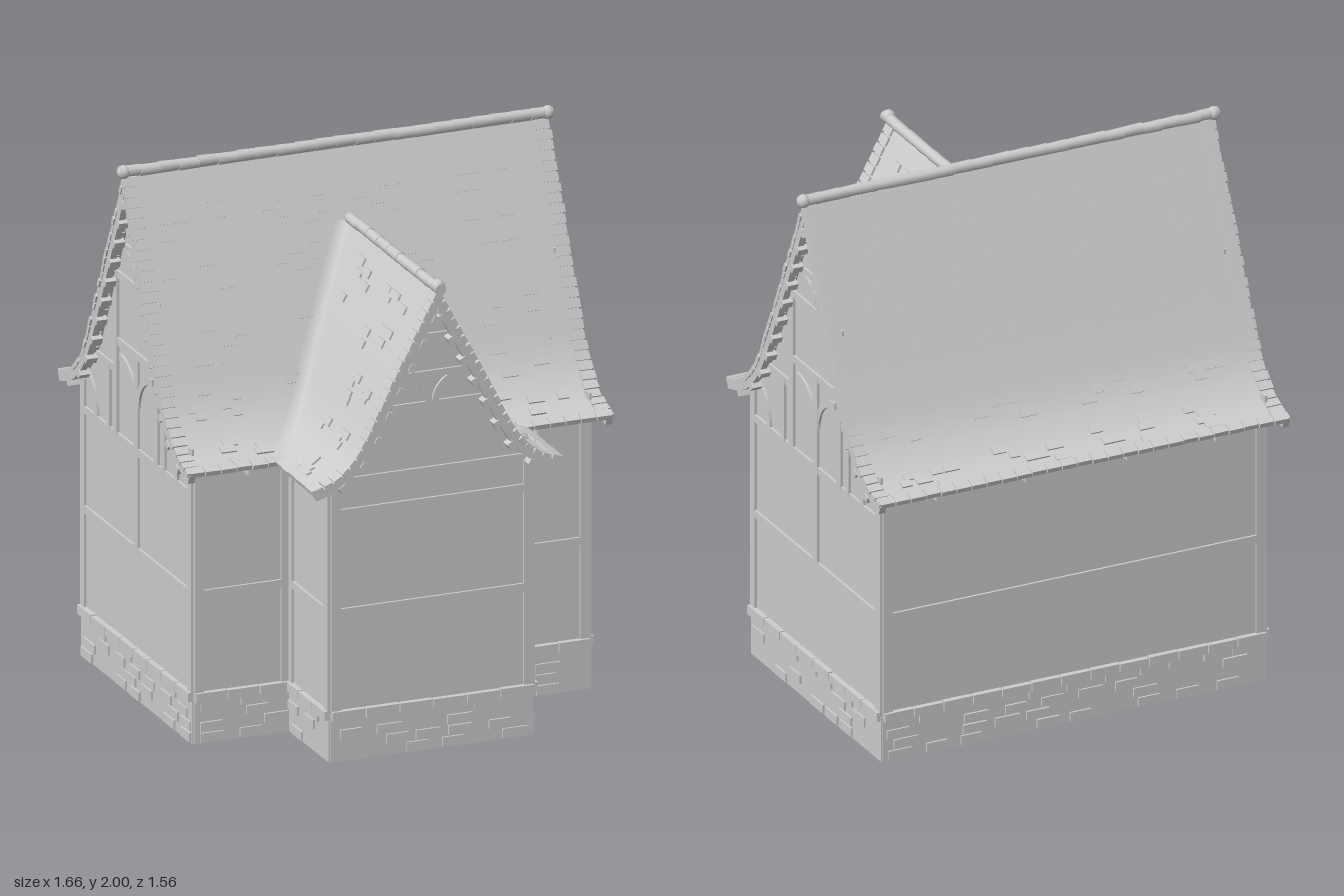
import * as THREE from 'three';
import { mergeGeometries } from 'three/addons/utils/BufferGeometryUtils.js';

const V = (x, y, z = 0) => new THREE.Vector3(x, y, z);
const MID = -0.18; // z of the main ridge

export function createModel() {
  const house = new THREE.Group();
  house.name = 'house';
  const grey = new THREE.MeshStandardMaterial({ color: 0xcccccc, side: THREE.DoubleSide });
  grey.name = 'pale grey';

  let seed = 7;
  const rnd = () => (seed = (seed * 16807) % 2147483647) / 2147483647;
  const add = (parent, geo, name) => {
    const m = new THREE.Mesh(geo, grey);
    m.name = name;
    parent.add(m);
    return m;
  };
  const box = (x, y, z, w, h, d) => new THREE.BoxGeometry(w, h, d).translate(x, y, z);

  // Shared roof sweep: x = run of main roof, y = height, z = run of wing roof
  const rows = new THREE.CatmullRomCurve3([
    V(0.107, 1.72, 0), V(0.284, 1.345, 0.197), V(0.36, 1.2, 0.27), V(0.42, 1.125, 0.32),
    V(0.495, 1.068, 0.385), V(0.595, 1.035, 0.47)]).getPoints(20);
  const mainPts = [V(0, 1.95), ...rows.map(r => V(r.x, r.y))];
  const wingPts = rows.map(r => V(r.z, r.y));
  const mainCurve = new THREE.CatmullRomCurve3(mainPts);
  const wingCurve = new THREE.CatmullRomCurve3(wingPts);

  // Surface from rows of points, top to bottom and left to right seen from outside
  function grid(lines) {
    const n = lines[0].length, idx = [];
    for (let r = 0; r < lines.length - 1; r++)
      for (let c = 0; c < n - 1; c++) {
        const a = r * n + c, d = a + n;
        idx.push(a, d, d + 1, a, d + 1, a + 1);
      }
    const g = new THREE.BufferGeometry().setFromPoints(lines.flat());
    g.setIndex(idx);
    g.computeVertexNormals();
    return g;
  }

  // Roof slopes; front slopes blend into the wing along the valleys
  const roof = new THREE.Group();
  roof.name = 'roof';
  house.add(roof);
  const EDGE = 0.805;
  for (const s of [1, -1]) {
    const order = line => (s > 0 ? line : line.reverse());
    add(roof, grid(rows.map(({ x: dm, y, z: dw }) => order([
      V(s * dw, y, 0.75), V(s * dw, y, MID + dm + 0.05), V(s * dw, y, MID + dm),
      V(s * (dw + 0.05), y, MID + dm), V(s * EDGE, y, MID + dm)]))), 'valleySlope');
    add(roof, grid(mainPts.slice(0, 2).map(p => order([V(0, p.y, MID + p.x), V(s * EDGE, p.y, MID + p.x)]))), 'upperSlope');
  }
  add(roof, grid(mainPts.map(p => [V(EDGE, p.y, MID - p.x), V(-EDGE, p.y, MID - p.x)])), 'backSlope');

  // Tile laid on a slope: u along the ridge, t down the slope
  const slopes = [
    { dir: V(0, 0, 1), z0: MID, curve: mainCurve, lo: -EDGE, hi: EDGE },
    { dir: V(0, 0, -1), z0: MID, curve: mainCurve, lo: -EDGE, hi: EDGE },
    { dir: V(1, 0, 0), z0: 0, curve: wingCurve, lo: -0.05, hi: 0.75 },
    { dir: V(-1, 0, 0), z0: 0, curve: wingCurve, lo: -0.05, hi: 0.75 }];
  const tiles = [];
  function tile(sl, u, t, w, l, h, out = 0.003) {
    const p = sl.curve.getPointAt(t), k = sl.curve.getTangentAt(t);
    const T = sl.dir.clone().multiplyScalar(k.x).add(V(0, k.y, 0));
    const N = sl.dir.clone().multiplyScalar(-k.y).add(V(0, k.x, 0));
    const A = N.clone().cross(T);
    const pos = sl.dir.clone().multiplyScalar(p.x).add(V(0, p.y, sl.z0)).addScaledVector(N, out);
    if (sl.dir.x) pos.z = u; else pos.x = u;
    const m = new THREE.Matrix4().makeBasis(A, N, T).setPosition(pos);
    tiles.push(new THREE.BoxGeometry(w, h, l).applyMatrix4(m));
  }
  slopes.forEach((sl, i) => {
    const wing = i > 1, n = wing ? 22 : 30;
    // stepped verge tiles
    for (let k = 0; k < n; k++)
      for (const e of wing ? [sl.hi] : [sl.lo, sl.hi])
        tile(sl, e + (e > 0 ? -1 : 1) * (0.018 + rnd() * 0.008), (k + 0.5) / n, 0.055, 0.032, 0.016, 0);
    // eave course
    const start = wing ? 0.42 : sl.lo;
    const count = Math.round((sl.hi - start) / 0.06);
    for (let k = 0; k < count; k++) {
      const u = start + (k + 0.5) * (sl.hi - start) / count;
      if (i === 0 && Math.abs(u) < 0.46) continue;
      tile(sl, u, 0.985, 0.056, 0.035 + rnd() * 0.01, 0.018, 0);
    }
    // scattered clusters of raised tiles
    const cols = wing ? [0.15, 0.5] : [-0.58, -0.2, 0.18, 0.56];
    for (const c of cols)
      for (const t0 of [0.15, 0.32, 0.55, 0.72, 0.9])
        for (let k = 0; k < 6; k++) {
          const u = c + (rnd() - 0.5) * 0.24, t = t0 + (Math.round(rnd() * 4) - 2) * 0.026;
          const d = sl.curve.getPointAt(t).x;
          if (i === 0 && Math.abs(u) < (MID + d + 0.07) + 0.07) continue;
          if (wing && (u < -0.07 + d * 1.02 + 0.09 || u > 0.72)) continue;
          tile(sl, u, t, 0.035 + rnd() * 0.03, 0.03, 0.008);
        }
  });
  add(roof, mergeGeometries(tiles), 'roofTiles');

  // Ridge caps made of overlapping rounded tiles
  function ridge(length, n, r, name) {
    const parts = [];
    for (let k = 0; k < n; k++)
      parts.push(new THREE.CylinderGeometry(r, r * (0.86 + rnd() * 0.1), length / n + 0.006, 10)
        .rotateZ(Math.PI / 2).translate((k + 0.5) * length / n - length / 2, (rnd() - 0.5) * 0.004, 0));
    return add(roof, mergeGeometries(parts), name);
  }
  ridge(1.64, 22, 0.021, 'mainRidge').position.set(0, 1.973, MID);
  const wr = ridge(0.82, 9, 0.021, 'wingRidge');
  wr.rotation.y = Math.PI / 2;
  wr.position.set(0, 1.735, 0.362);

  // Bargeboard with blocks below, drawn facing +z
  function bargeboard(parent, curve, z) {
    const outer = [], inner = [];
    for (let k = 0; k <= 24; k++) {
      const p = curve.getPointAt(k / 24), t = curve.getTangentAt(k / 24);
      outer.push([p.x, p.y - 0.004]);
      inner.push(k ? [Math.max(0, p.x + t.y * 0.034), p.y - t.x * 0.034] : [0, p.y - 0.08]);
    }
    const flip = a => a.map(([x, y]) => [-x, y]);
    const ring = [...outer, ...inner.slice().reverse(), ...flip(inner).slice(1), ...flip(outer).reverse()];
    const shape = new THREE.Shape(ring.map(([x, y]) => new THREE.Vector2(x, y)));
    add(parent, new THREE.ExtrudeGeometry(shape, { depth: 0.025, bevelEnabled: false }).translate(0, 0, z), 'bargeboard');
    const blocks = [], n = Math.round(curve.getLength() / 0.095);
    for (let k = 1; k < n; k++)
      for (const s of [1, -1]) {
        const p = curve.getPointAt(k / n), t = curve.getTangentAt(k / n);
        blocks.push(new THREE.BoxGeometry(0.028, 0.024, 0.04).rotateZ(s * Math.atan2(t.y, t.x))
          .translate(s * (p.x + t.y * 0.04), p.y - t.x * 0.04, z + 0.01));
      }
    add(parent, mergeGeometries(blocks), 'rafterBlocks');
    const top = curve.getPointAt(0).y;
    add(parent, new THREE.SphereGeometry(0.025, 12, 8).translate(0, top + 0.023, z + 0.025), 'finial');
  }

  // Curved timber brace
  function arc(cx, cy, r, a0, a1) {
    const s = new THREE.Shape();
    s.absarc(cx, cy, r, a0, a1, false);
    s.absarc(cx, cy, r - 0.025, a1, a0, true);
    return new THREE.ExtrudeGeometry(s, { depth: 0.009, bevelEnabled: false, curveSegments: 8 });
  }

  // One wall with plinth, ledge and timbers, drawn facing +z
  function wall(name, x, z, turn, w, curve) {
    const g = new THREE.Group();
    g.name = name;
    g.position.set(x, 0, z);
    g.rotation.y = turn;
    house.add(g);
    const h = w / 2;
    if (curve) {
      const side = curve.getSpacedPoints(40).filter(p => p.x <= h).map(p => [p.x, p.y - 0.02]);
      const pts = [[-h, 0.02], [h, 0.02], [h, 1.045], ...side.slice().reverse(),
        ...side.slice(1).map(([a, b]) => [-a, b]), [-h, 1.045]];
      add(g, new THREE.ShapeGeometry(new THREE.Shape(pts.map(p => new THREE.Vector2(...p)))), 'gableWall');
    } else add(g, new THREE.PlaneGeometry(w, 1.04).translate(0, 0.54, 0), 'wallPanel');

    // stone plinth
    const stones = [box(0, 0.085, -0.012, w, 0.17, 0.036)];
    for (let row = 0; row < 4; row++)
      for (let u = -h + rnd() * 0.05; u < h - 0.09; u += 0.11 + rnd() * 0.05)
        if (rnd() < 0.6) stones.push(box(u + 0.045, 0.022 + row * 0.04, 0.006, 0.08 + rnd() * 0.02, 0.034, 0.012 + rnd() * 0.006));
    add(g, mergeGeometries(stones), 'plinth');
    const n = Math.max(3, Math.round(w / 0.12)), caps = [];
    for (let k = 0; k < n; k++)
      caps.push(box(-h + (k + 0.5) * w / n, 0.173, 0.004, w / n - 0.004, 0.03 + rnd() * 0.006, 0.034));
    add(g, mergeGeometries(caps), 'ledge');

    // timbers: post(u, y0, y1) and rail(y, u0, u1)
    const t = [];
    const post = (u, a, b, k = 0.036) => t.push(box(u, (a + b) / 2, 0.003, k, b - a, 0.014));
    const rail = (y, a, b, k = 0.028) => t.push(box((a + b) / 2, y, 0.002, b - a, k, 0.014));
    for (const s of [1, -1]) post(s * (h - 0.018), 0.18, 1.04);
    rail(0.555, -h, h);
    if (curve) rail(0.925, -h, h);
    if (curve === mainCurve) {
      post(0, 0.56, 1.28);
      rail(1.28, -0.19, 0.19);
      rail(1.53, -0.18, 0.18);
      rail(1.655, -0.11, 0.11, 0.024);
      for (const s of [1, -1]) {
        post(s * 0.185, 0.93, 1.54, 0.03);
        rail(1.17, Math.min(s * 0.19, s * 0.36), Math.max(s * 0.19, s * 0.36));
        post(s * 0.25, 0.93, 1.17, 0.024);
        const left = s < 0;
        t.push(arc(s * 0.15, 1.09, 0.15, left ? 0 : Math.PI / 2, left ? Math.PI / 2 : Math.PI));
        t.push(arc(s * 0.51, 0.94, 0.16, left ? 0 : Math.PI / 2, left ? Math.PI / 2 : Math.PI));
        t.push(arc(s * 0.09, 1.55, 0.09, left ? 0 : Math.PI / 2, left ? Math.PI / 2 : Math.PI));
      }
    } else if (curve) {
      rail(1.04, -0.36, 0.36);
      rail(1.285, -0.2, 0.2);
      rail(1.4, -0.13, 0.13, 0.024);
      rail(1.54, -0.07, 0.07, 0.022);
      t.push(arc(0.11, 1.29, 0.11, Math.PI / 2, Math.PI), arc(-0.11, 1.29, 0.11, 0, Math.PI / 2));
    }
    add(g, mergeGeometries(t.map(q => q.index ? q.toNonIndexed() : q)), 'timbers');
    if (curve) bargeboard(g, curve, curve === mainCurve ? 0.03 : 0.035);
    return g;
  }

  const Q = Math.PI / 2;
  wall('rightGable', 0.752, MID, Q, 1.01, mainCurve);
  wall('leftGable', -0.752, MID, -Q, 1.01, mainCurve);
  wall('wingGable', 0, 0.69, 0, 0.77, wingCurve);
  wall('backWall', 0, -0.685, Math.PI, 1.504);
  for (const s of [1, -1]) {
    wall('wingSide', s * 0.385, 0.5075, s * Q, 0.365);
    wall('frontWall', s * 0.5685, 0.325, 0, 0.367);
    // eave brackets
    add(house, box(s * 0.55, 1.012, 0.36, 0.045, 0.03, 0.07), 'eaveBracket');
    for (const x of [0.2, 0.55]) add(house, box(s * x, 1.012, -0.715, 0.045, 0.03, 0.07), 'eaveBracket');
  }
  return house;
}
